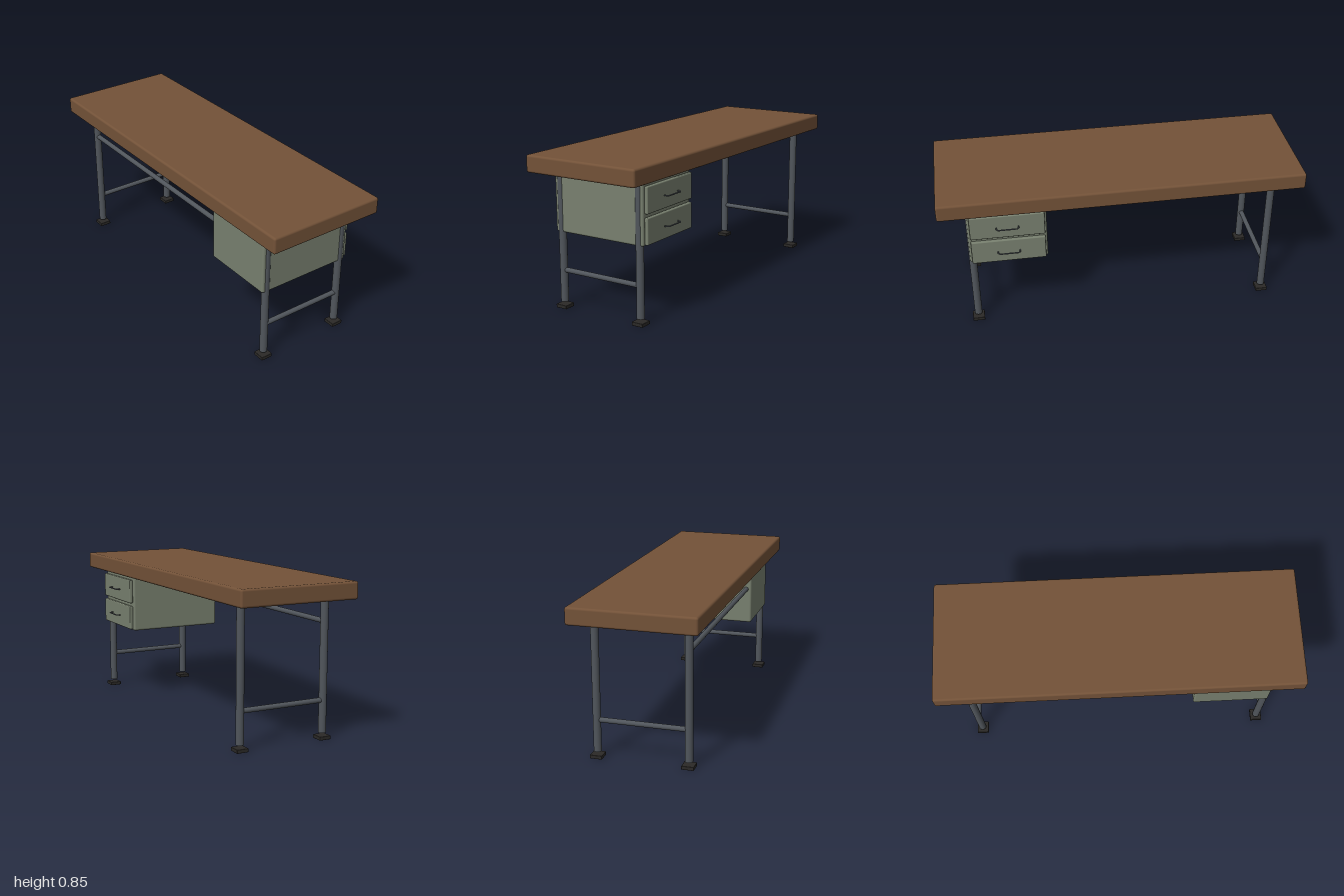
import * as THREE from 'three';
import { RoundedBoxGeometry } from 'three/addons/geometries/RoundedBoxGeometry.js';

const material = (color) => new THREE.MeshStandardMaterial({ color });

export function createModel() {
  const desk = new THREE.Group();
  desk.name = 'desk';
  const wood = material(0x735238);
  const steel = material(0x50555b);
  const paint = material(0x78806f);
  const rubber = material(0x2b2927);

  const add = (name, geometry, mat, x, y, z) => {
    const mesh = new THREE.Mesh(geometry, mat);
    mesh.name = name;
    mesh.position.set(x, y, z);
    desk.add(mesh);
    return mesh;
  };
  const block = (name, mat, [w, h, d], [x, y, z], radius) =>
    add(name, new RoundedBoxGeometry(w, h, d, 3, radius), mat, x, y, z);
  const rod = (radius, length) => new THREE.CylinderGeometry(radius, radius, length, 24);

  // Thick top with softened edges
  block('tabletop', wood, [2, 0.093, 0.678], [0, 0.8015, 0], 0.012);

  // Tubular legs over square feet, joined by a low rail at each end
  const legX = 0.834, legZ = 0.248;
  for (const side of [-1, 1]) {
    for (const end of [-1, 1]) {
      add('leg', rod(0.021, 0.722), steel, side * legX, 0.396, end * legZ);
      block('foot', rubber, [0.067, 0.02, 0.067], [side * legX, 0.01, end * legZ], 0.003);
    }
    add('sideRail', rod(0.014, legZ * 2), steel, side * legX, 0.21, 0).rotation.x = Math.PI / 2;
  }

  // Long rail between the front legs
  add('longRail', rod(0.014, legX * 2), steel, 0, 0.628, legZ).rotation.z = Math.PI / 2;

  // Cabinet hung under one end
  const cabinetX = 0.634;
  block('cabinet', paint, [0.43, 0.336, 0.558], [cabinetX, 0.587, 0.001], 0.012);

  // Bent-wire pull
  const pull = new THREE.CurvePath();
  const points = [[-0.06, -0.303], [-0.06, -0.318], [-0.051, -0.327],
    [0.051, -0.327], [0.06, -0.318], [0.06, -0.303]].map(([x, z]) => new THREE.Vector3(x, 0, z));
  for (let i = 0; i < points.length - 1; i++) pull.add(new THREE.LineCurve3(points[i], points[i + 1]));
  const pullGeometry = new THREE.TubeGeometry(pull, 60, 0.0037, 10);

  // Two drawers facing the back
  for (const y of [0.6575, 0.4975]) {
    block('drawerFront', paint, [0.405, 0.141, 0.021], [cabinetX, y, -0.2885], 0.006);
    add('drawerPull', pullGeometry, steel, cabinetX, y, 0);
    for (const side of [-1, 1]) {
      const cap = add('pullEnd', new THREE.CircleGeometry(0.0037, 10), steel, cabinetX + side * 0.06, y, -0.303);
      cap.material = steel;
    }
  }

  return desk;
}
